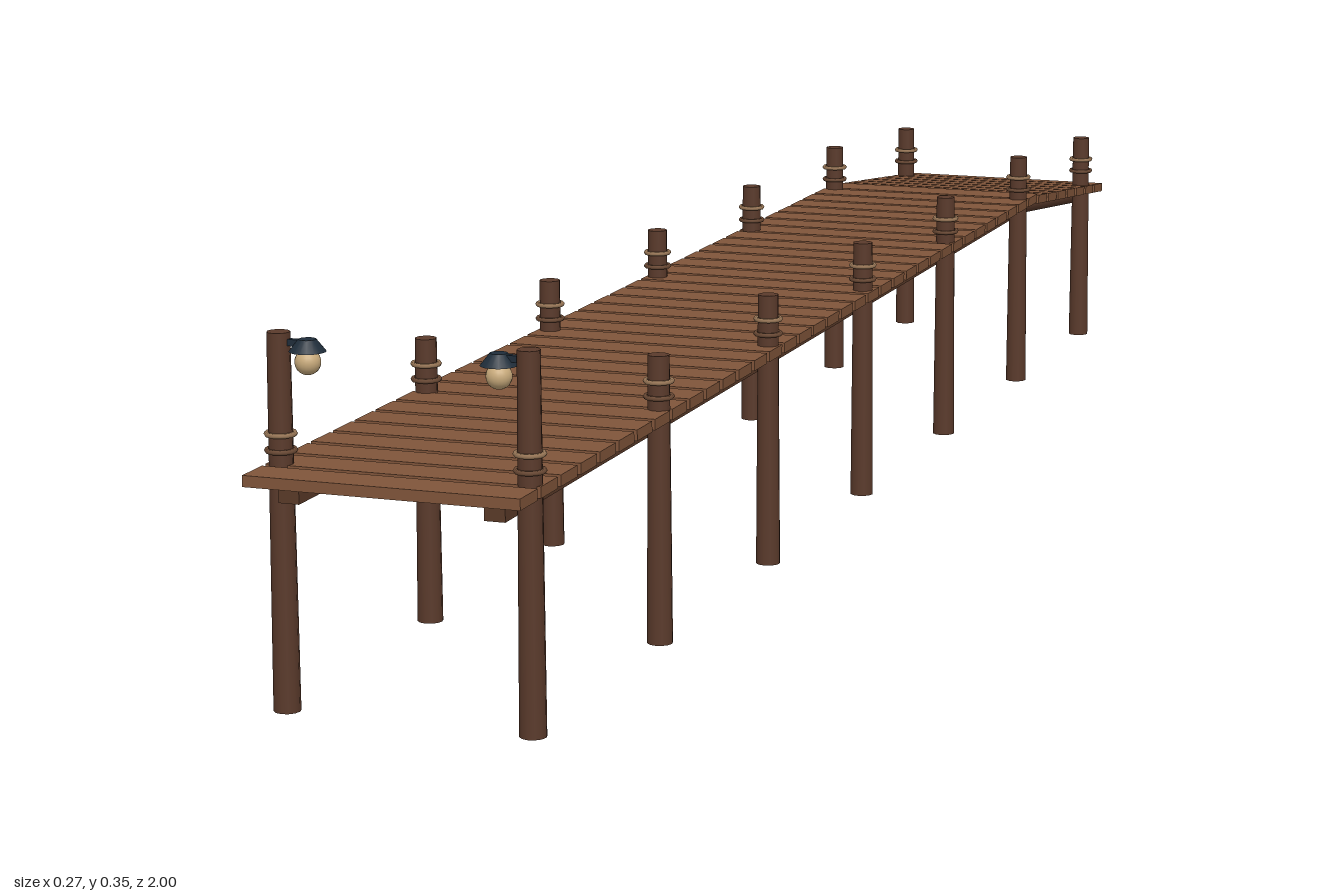
import * as THREE from 'three';

const mat = (name, color, flat = false) => {
  const m = new THREE.MeshStandardMaterial({ color, flatShading: flat });
  m.name = name;
  return m;
};

export function createModel() {
  const plankWood = mat('plank wood', 0x80553a, true);
  const postWood = mat('post wood', 0x5a3a2b);
  const beamWood = mat('beam wood', 0x5a3a28, true);
  const rope = mat('rope', 0x9a7858);
  const darkRope = mat('dark rope', 0x6b4a35);
  const iron = mat('dark iron', 0x1f2d3a);
  const glass = mat('lamp glass', 0xc9ab7c);

  const dock = new THREE.Group();
  dock.name = 'dock';
  const add = (name, geo, material, x, y, z, parent = dock) => {
    const mesh = new THREE.Mesh(geo, material);
    mesh.name = name;
    mesh.position.set(x, y, z);
    parent.add(mesh);
    return mesh;
  };

  // Deck: level planks, then a ramp sloping down at the back
  const count = 43, pitch = 1.961 / (count - 1), rampZ = -0.655, slope = 0.108;
  const plankGeo = new THREE.BoxGeometry(0.263, 0.0105, 0.039);
  for (let i = 0; i < count; i++) {
    const z = 0.9805 - i * pitch;
    const drop = Math.max(0, rampZ - z) * slope;
    const p = add('plank', plankGeo, plankWood, 0, 0.2225 - drop, z);
    if (drop > 0) p.rotation.x = -Math.atan(slope);
  }

  const postZ = [0.947, 0.63, 0.315, 0, -0.315, -0.63, -0.935];
  const ringGeo = new THREE.TorusGeometry(0.0128, 0.0024, 6, 16).rotateX(Math.PI / 2);

  for (const s of [-1, 1]) {
    // Long beams under the deck
    add('levelBeam', new THREE.BoxGeometry(0.02, 0.018, 1.625), beamWood, s * 0.098, 0.2085, 0.165);
    const length = 0.335;
    const ramp = add('rampBeam', new THREE.CylinderGeometry(0.0095, 0.0095, length, 12).rotateX(Math.PI / 2),
      postWood, s * 0.097, 0.193, -0.815);
    ramp.rotation.x = -Math.atan(slope);

    // Posts with rope rings
    postZ.forEach((z, i) => {
      const h = i === 0 ? 0.347 : i === 6 ? 0.26 : 0.28;
      const ringY = i === 6 ? 0.232 : 0.255;
      add('post', new THREE.CylinderGeometry(0.0105, 0.0125, h, 12), postWood, s * 0.119, h / 2, z);
      add('upperRopeRing', ringGeo, rope, s * 0.119, ringY, z);
      add('lowerRopeRing', ringGeo, darkRope, s * 0.119, ringY - 0.015, z);
    });

    // Hanging lamp on the front post
    const lamp = new THREE.Group();
    lamp.name = 'lamp';
    lamp.position.set(s * 0.091, 0, 0.947);
    dock.add(lamp);
    add('lampArm', new THREE.BoxGeometry(0.022, 0.006, 0.006), iron, s * 0.01, 0.338, 0, lamp);
    add('lampShade', new THREE.CylinderGeometry(0.008, 0.0168, 0.011, 16), iron, 0, 0.3365, 0, lamp);
    add('lampGlobe', new THREE.SphereGeometry(0.0118, 20, 14), glass, 0, 0.3215, 0, lamp);
  }
  return dock;
}
